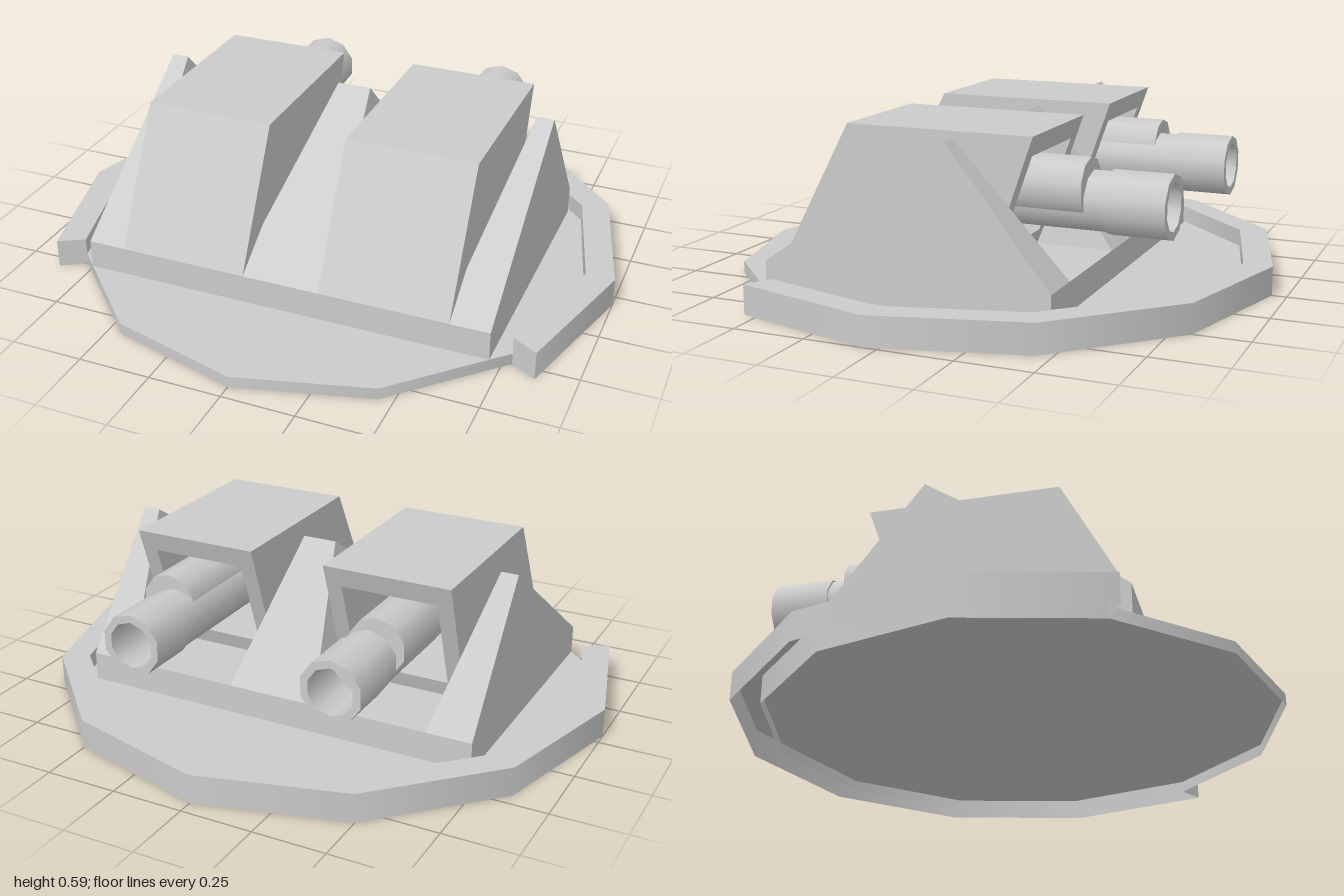
import * as THREE from 'three';

const material = new THREE.MeshStandardMaterial({ color: 0xcccccc, side: THREE.DoubleSide });
const ZC = 0.05; // centre of the round base

function add(parent, name, geometry, x = 0, y = 0, z = 0) {
  const mesh = new THREE.Mesh(geometry, material);
  mesh.name = name;
  mesh.position.set(x, y, z);
  parent.add(mesh);
  return mesh;
}

// Turns a [z, y] profile into a 2D shape
const profileShape = (points) => new THREE.Shape(points.map(([z, y]) => new THREE.Vector2(z, y)));

// Triangular cheek: wide at the foot, narrowing to a short ridge
function cheekGeometry(footIn, footOut, ridgeIn, ridgeOut) {
  const shape = profileShape([[0.56, 0.14], [-0.44, 0.14], [-0.09, 0.582]]);
  const g = new THREE.ExtrudeGeometry(shape, { depth: 1, bevelEnabled: false });
  g.translate(0, 0, -0.5).rotateY(-Math.PI / 2);
  const p = g.attributes.position;
  for (let i = 0; i < p.count; i++) {
    const [a, b] = p.getY(i) > 0.3 ? [ridgeIn, ridgeOut] : [footIn, footOut];
    p.setX(i, p.getX(i) < 0 ? a : b);
  }
  g.computeVertexNormals();
  return g;
}

// Ten-sided strip of a lathe, from [radius, distance] points, pointing backwards
function barrelGeometry(points) {
  const g = new THREE.LatheGeometry(points.map(([r, d]) => new THREE.Vector2(r, d)), 10);
  return g.rotateX(-Math.PI / 2);
}

// Flat plate across x, rising from [z, y] to [z, y], with an optional opening
function plateGeometry([z0, y0], [z1, y1], opening) {
  const w = 0.225, length = Math.hypot(z1 - z0, y1 - y0);
  const rect = (hw, a, b) => [[-hw, a], [hw, a], [hw, b], [-hw, b]];
  const shape = profileShape(rect(w, 0, length));
  if (opening) shape.holes.push(profileShape(rect(...opening)));
  const g = new THREE.ShapeGeometry(shape);
  return g.rotateX(Math.atan2(z1 - z0, y1 - y0)).translate(0, y0, z0);
}

function createRim() {
  const rim = new THREE.Group();
  rim.name = 'rim';
  const start = Math.PI / 3, sweep = Math.PI * 4 / 3;
  for (const [name, r] of [['rimOuterWall', 1], ['rimInnerWall', 0.9]]) {
    add(rim, name, new THREE.CylinderGeometry(r, r, 0.1, 8, 1, true, start, sweep), 0, 0.05, ZC);
  }
  const top = new THREE.RingGeometry(0.9, 1, 8, 1, -Math.PI / 6, sweep).rotateX(-Math.PI / 2);
  add(rim, 'rimTop', top, 0, 0.1, ZC);
  for (const s of [1, -1]) {
    const end = add(rim, 'rimEnd', new THREE.PlaneGeometry(0.1, 0.1),
      s * 0.95 * Math.sin(start), 0.05, ZC + 0.95 * Math.cos(start));
    end.rotation.y = -s * Math.PI / 6;
  }
  return rim;
}

// Hollow armoured housing with an opening in its back for the barrel
function createHousing(s) {
  const housing = new THREE.Group();
  housing.name = 'housing';
  housing.position.x = s * 0.36;
  const corners = [[0.56, 0.14], [0.32, 0.59], [-0.325, 0.59], [-0.17, 0.14]];
  const [frontFoot, frontTop, backTop, backFoot] = corners;
  add(housing, 'housingFront', plateGeometry(frontFoot, frontTop));
  add(housing, 'housingRoof', plateGeometry(backTop, frontTop));
  add(housing, 'housingBack', plateGeometry(backFoot, backTop, [0.17, 0.06, 0.4]));
  for (const x of [-0.225, 0.225]) {
    add(housing, 'housingSide', new THREE.ShapeGeometry(profileShape(corners)).rotateY(-Math.PI / 2), x);
  }
  return housing;
}

function createBarrel(s) {
  const barrel = new THREE.Group();
  barrel.name = 'barrel';
  const x = s * 0.362, y = 0.357;
  add(barrel, 'barrelTube', new THREE.CylinderGeometry(0.1, 0.1, 0.46, 10).rotateX(Math.PI / 2), x, y, -0.28);
  // Hollow muzzle, built from separate strips to keep its edges sharp
  const rings = [[0.1, 0.51], [0.107, 0.51], [0.107, 0.71], [0.08, 0.71], [0.08, 0.53], [0, 0.53]];
  for (let i = 0; i + 1 < rings.length; i++) {
    add(barrel, 'muzzle', barrelGeometry([rings[i], rings[i + 1]]), x, y, 0);
  }
  // Short side cylinder sitting high beside the barrel
  add(barrel, 'recoilCylinder', new THREE.CylinderGeometry(0.1, 0.1, 0.4, 10).rotateX(Math.PI / 2),
    s * 0.388, 0.403, -0.245);
  return barrel;
}

export function createModel() {
  const model = new THREE.Group();
  model.name = 'twinTurret';

  // Round base, open underneath, and the raised rim around its rear
  add(model, 'baseWall', new THREE.CylinderGeometry(0.9, 0.9, 0.04, 12, 1, true), 0, 0.02, ZC);
  add(model, 'baseTop', new THREE.CircleGeometry(0.9, 12).rotateX(-Math.PI / 2), 0, 0.04, ZC);
  model.add(createRim());

  // Mounting plate
  add(model, 'mountPlate', new THREE.BoxGeometry(1.44, 0.1, 1), 0, 0.09, 0.06);

  // Cheeks
  add(model, 'middleCheek', cheekGeometry(-0.16, 0.16, -0.06, 0.06));
  add(model, 'leftCheek', cheekGeometry(0.56, 0.72, 0.66, 0.72));
  add(model, 'rightCheek', cheekGeometry(-0.72, -0.56, -0.72, -0.66));

  // Housings with their barrels
  for (const s of [1, -1]) {
    model.add(createHousing(s), createBarrel(s));
  }
  return model;
}
